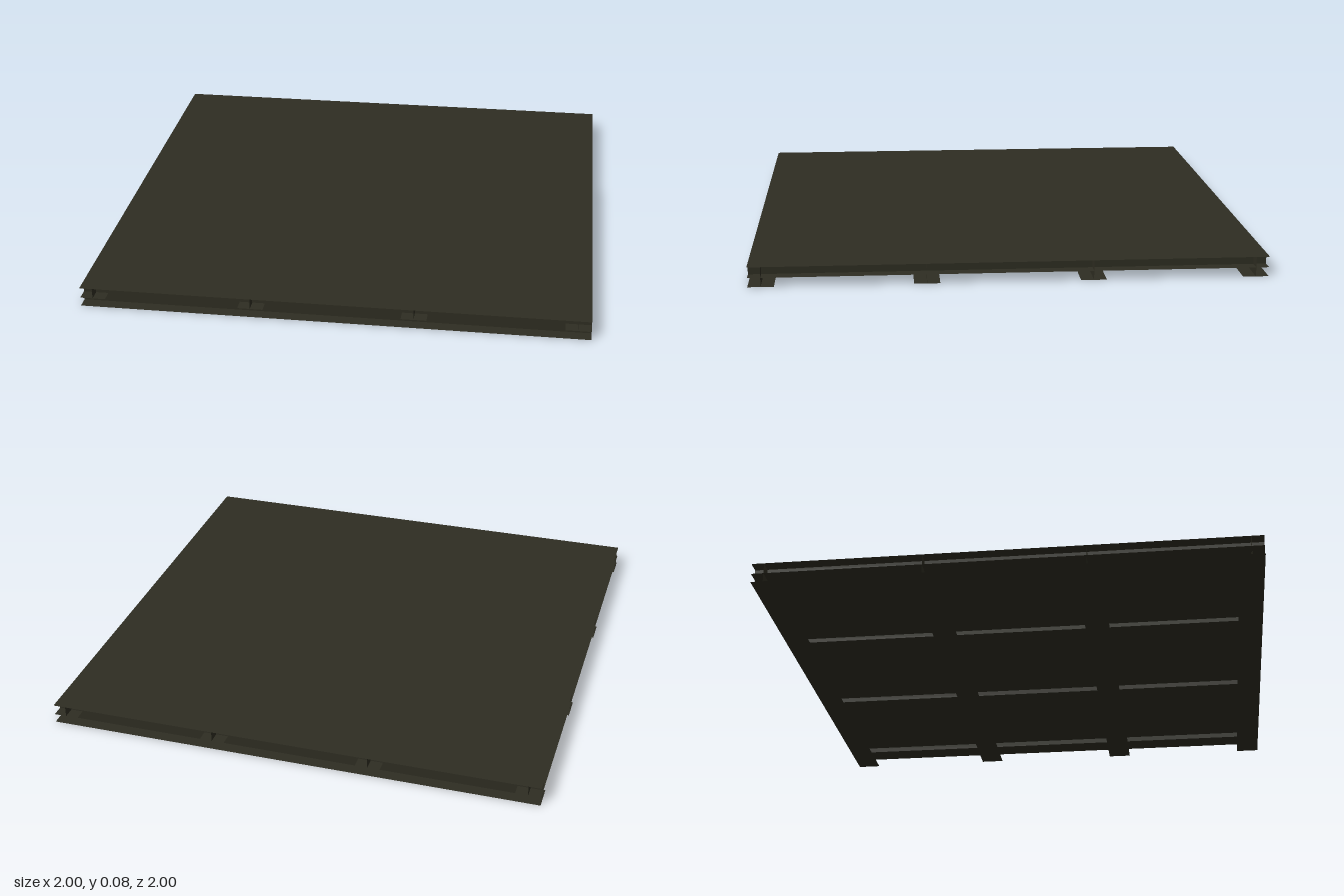
import * as THREE from 'three';

const LENGTH = 2, TOP = 0.08, FLANGE = 0.1;
const LINES = [-0.95, -0.32, 0.32, 0.95]; // beam centre lines

export function createModel() {
  const steel = new THREE.MeshStandardMaterial({ color: 0x2e2d22, side: THREE.DoubleSide });
  steel.name = 'dark olive steel';
  const model = new THREE.Group();
  model.name = 'deckPlatform';

  // Horizontal sheet
  function sheet(name, width, depth, y) {
    const mesh = new THREE.Mesh(new THREE.PlaneGeometry(width, depth).rotateX(-Math.PI / 2), steel);
    mesh.name = name;
    mesh.position.y = y;
    return mesh;
  }

  // Thin I-section running along x: two flanges joined by an upright web
  function iBeam(name, bottom) {
    const beam = new THREE.Group();
    beam.name = name;
    const top = TOP - 0.002;
    const web = new THREE.Mesh(new THREE.PlaneGeometry(LENGTH, top - bottom), steel);
    web.name = 'web';
    web.position.y = (top + bottom) / 2;
    beam.add(
      web,
      sheet('topFlange', LENGTH, FLANGE, top),
      sheet('bottomFlange', LENGTH, FLANGE, bottom)
    );
    return beam;
  }

  // Deck sheet
  model.add(sheet('deck', LENGTH, LENGTH, TOP));

  for (const p of LINES) {
    // Deep main beams across the width
    const main = iBeam('mainBeam', 0);
    main.position.z = p;
    model.add(main);

    // Shallower joists from front to back
    const joist = iBeam('joist', 0.036);
    joist.rotation.y = Math.PI / 2;
    joist.position.x = p;
    model.add(joist);
  }
  return model;
}
